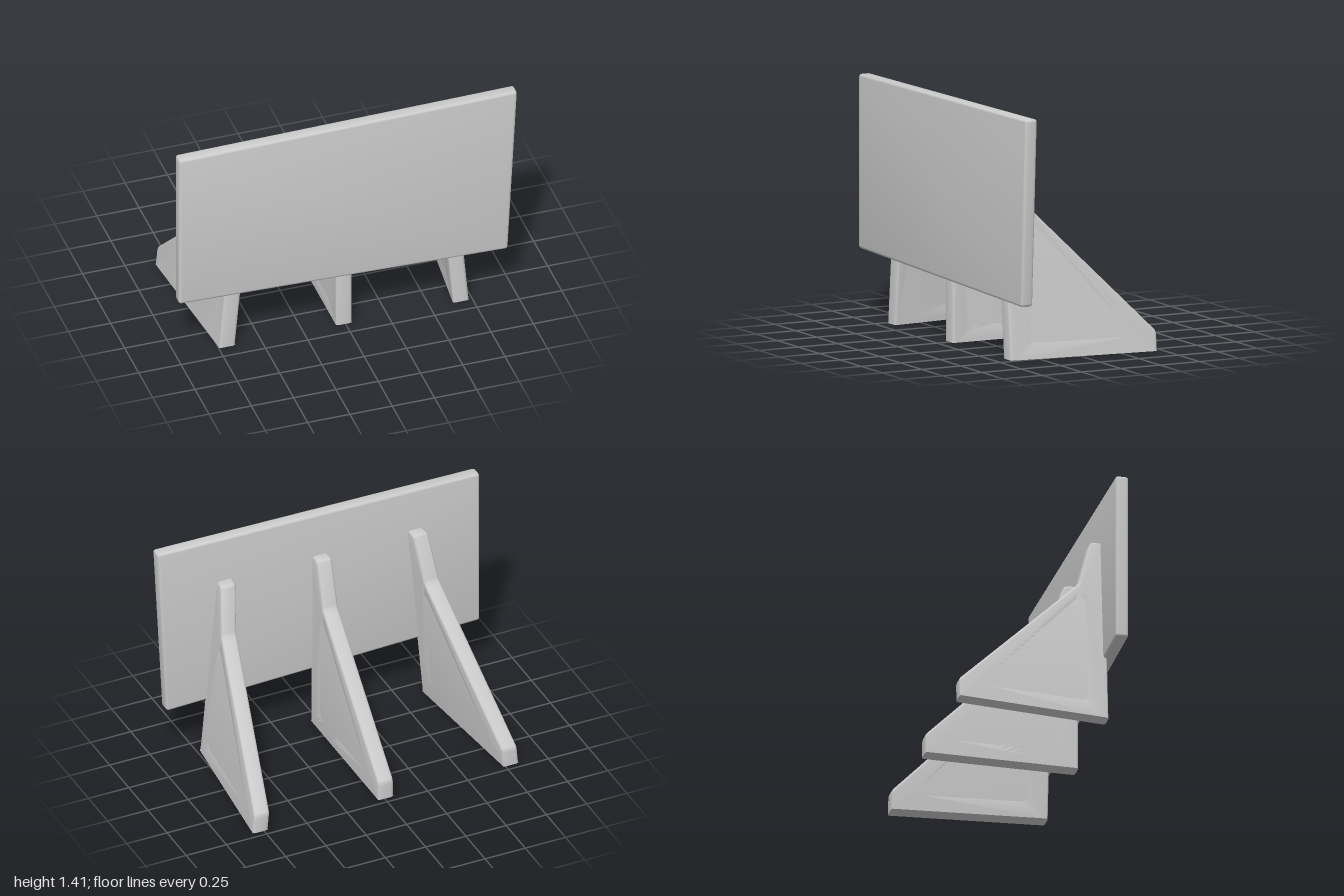
import * as THREE from 'three';
import { toCreasedNormals } from 'three/addons/utils/BufferGeometryUtils.js';

// Closed polygon with softened corners; each point is [x, y, corner cut length]
function roundedPath(path, points) {
  const v = points.map(([x, y]) => new THREE.Vector2(x, y));
  const n = v.length;
  for (let i = 0; i < n; i++) {
    const p = v[i], cut = points[i][2];
    const towards = (q) => p.clone().add(q.clone().sub(p).setLength(cut));
    const a = towards(v[(i + n - 1) % n]);
    const b = towards(v[(i + 1) % n]);
    if (i === 0) path.moveTo(a.x, a.y);
    else path.lineTo(a.x, a.y);
    path.quadraticCurveTo(p.x, p.y, b.x, b.y);
  }
  path.closePath();
  return path;
}

// Extrusion of exact outer size, centred on z = 0, with softened edges
function softExtrude(shape, thickness, bevel) {
  const geometry = new THREE.ExtrudeGeometry(shape, {
    depth: thickness - 2 * bevel,
    bevelThickness: bevel,
    bevelSize: bevel,
    bevelOffset: -bevel,
    bevelSegments: 3,
    curveSegments: 5,
  });
  return geometry.translate(0, 0, -(thickness / 2 - bevel));
}

// Triangular bracket in the zy plane; sheared so it can splay and lean
function bracketGeometry(side) {
  const shape = roundedPath(new THREE.Shape(), [
    [-0.42, -0.04, 0.005],
    [0.466, -0.04, 0.005],
    [0.466, 0.113, 0.02],
    [-0.259, 0.842, 0.02],
    [-0.337, 1.125, 0.025],
    [-0.42, 1.125, 0.01],
  ]);
  shape.holes.push(roundedPath(new THREE.Path(), [
    [-0.28, 0.107, 0.025],
    [-0.28, 0.758, 0.05],
    [0.312, 0.107, 0.04],
  ]));
  const geometry = softExtrude(shape, 0.095, 0.016).rotateY(Math.PI / 2);
  const pos = geometry.attributes.position;
  for (let i = 0; i < pos.count; i++) {
    const y = Math.max(0, pos.getY(i)); // flat, sharp-edged sole
    const shift = 0.69 - 0.09 * y + 0.1 * (0.42 - pos.getZ(i));
    pos.setXYZ(i, pos.getX(i) + side * shift - 0.008, y, pos.getZ(i));
  }
  return toCreasedNormals(geometry, 0.6);
}

export function createModel() {
  const model = new THREE.Group();
  model.name = 'billboard';
  const material = new THREE.MeshStandardMaterial({ color: 0xcccccc });

  // Slightly crooked board
  const board = roundedPath(new THREE.Shape(), [
    [-1, 0.392, 0.018],
    [0.944, 0.337, 0.018],
    [1, 1.412, 0.018],
    [-1, 1.384, 0.018],
  ]);
  const boardGeometry = softExtrude(board, 0.074, 0.016).translate(0, 0, 0.432);
  const panel = new THREE.Mesh(toCreasedNormals(boardGeometry, 0.6), material);
  panel.name = 'panel';
  model.add(panel);

  // Three supports behind the board, the outer two splayed
  const names = { '-1': 'rightSupport', '0': 'middleSupport', '1': 'leftSupport' };
  for (const side of [-1, 0, 1]) {
    const support = new THREE.Mesh(bracketGeometry(side), material);
    support.name = names[side];
    model.add(support);
  }
  return model;
}
